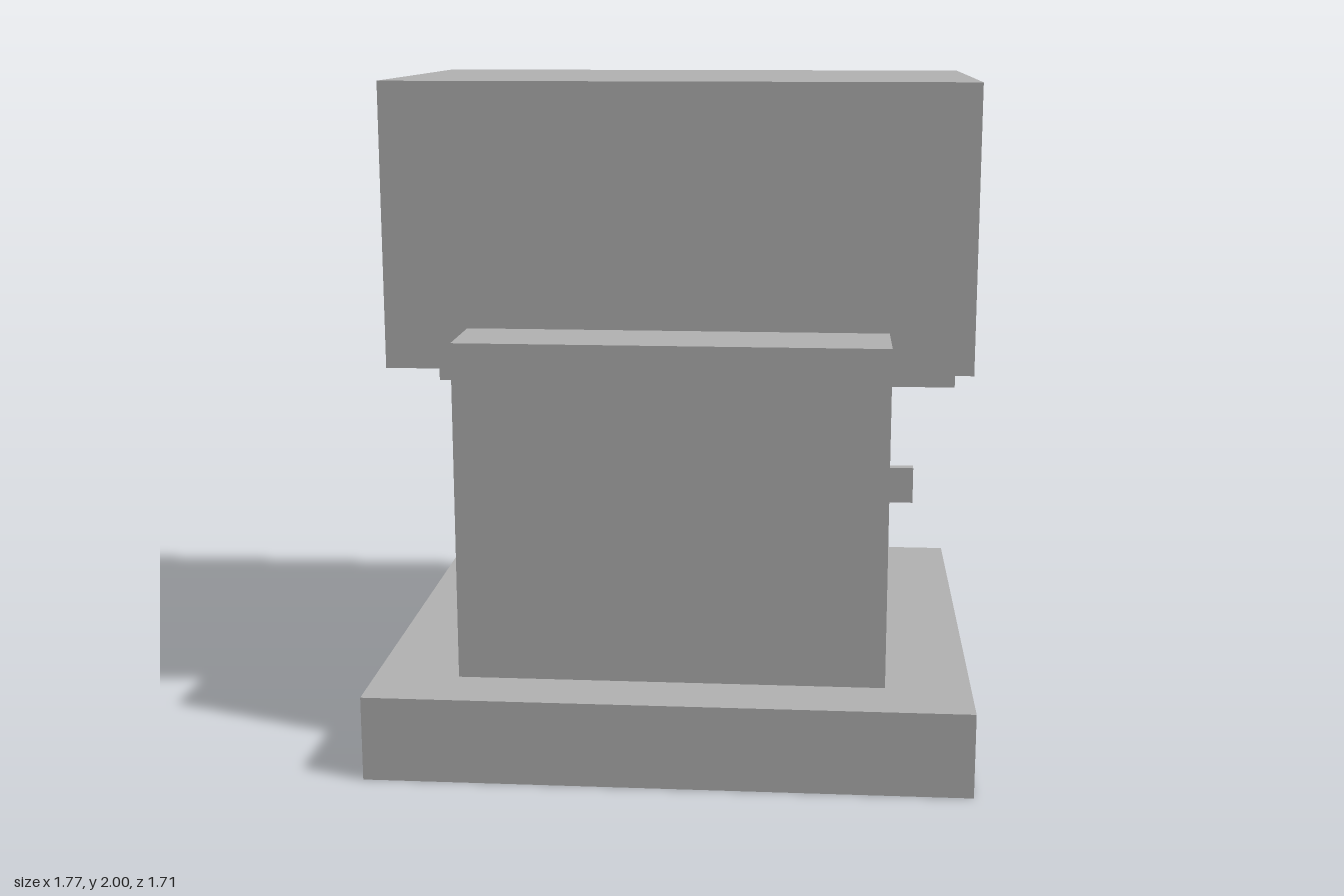
import * as THREE from 'three';

const grey = new THREE.MeshStandardMaterial({ color: 0xb2b2b2 });
grey.name = 'grey';

// Box given by its extents on each axis
function block(name, [x0, x1], [y0, y1], [z0, z1]) {
  const geometry = new THREE.BoxGeometry(x1 - x0, y1 - y0, z1 - z0);
  const mesh = new THREE.Mesh(geometry, grey);
  mesh.position.set((x0 + x1) / 2, (y0 + y1) / 2, (z0 + z1) / 2);
  mesh.name = name;
  return mesh;
}

// Cabinet and keyboard shelf as one side profile (z, y), extruded across x
function makeHead(halfWidth) {
  const profile = [
    [0.41, 1.14], [0.41, 2], [-0.705, 2], [-0.705, 1.14],
    [-0.855, 1.14], [-0.855, 0.95], [-0.35, 0.95], [-0.35, 1.14],
  ];
  const shape = new THREE.Shape(profile.map(([z, y]) => new THREE.Vector2(z, y)));
  const geometry = new THREE.ExtrudeGeometry(shape, { depth: 2 * halfWidth, bevelEnabled: false });
  geometry.translate(0, 0, -halfWidth);
  geometry.rotateY(-Math.PI / 2);
  const mesh = new THREE.Mesh(geometry, grey);
  mesh.name = 'headWithShelf';
  return mesh;
}

export function createModel() {
  const model = new THREE.Group();
  model.name = 'terminal';

  // Body
  model.add(
    block('base', [-0.885, 0.885], [0, 0.253], [-0.79, 0.855]),
    block('column', [-0.633, 0.633], [0.253, 1.265], [-0.473, 0.665]),
    makeHead(0.885),
    block('sideTray', [0.38, 0.759], [0.51, 0.635], [-0.51, -0.473]),
  );

  // Screen with three raised lines, the middle one indented
  const screen = new THREE.Group();
  screen.name = 'screen';
  screen.add(block('screenPanel', [-0.77, 0.77], [1.27, 1.9], [-0.743, -0.705]));
  [[1.652, 0.605], [1.526, 0.315], [1.4, 0.605]].forEach(([y, x], i) => {
    screen.add(block(`screenLine${i + 1}`, [-0.66, x], [y, y + 0.034], [-0.762, -0.743]));
  });
  model.add(screen);

  // Row of keys on the shelf
  const keys = new THREE.Group();
  keys.name = 'keys';
  for (let i = 0; i < 6; i++) {
    const x = 0.77 - i * 0.253;
    keys.add(block(`key${i + 1}`, [x - 0.127, x], [1.14, 1.177], [-0.73, -0.705]));
  }
  model.add(keys);

  return model;
}
